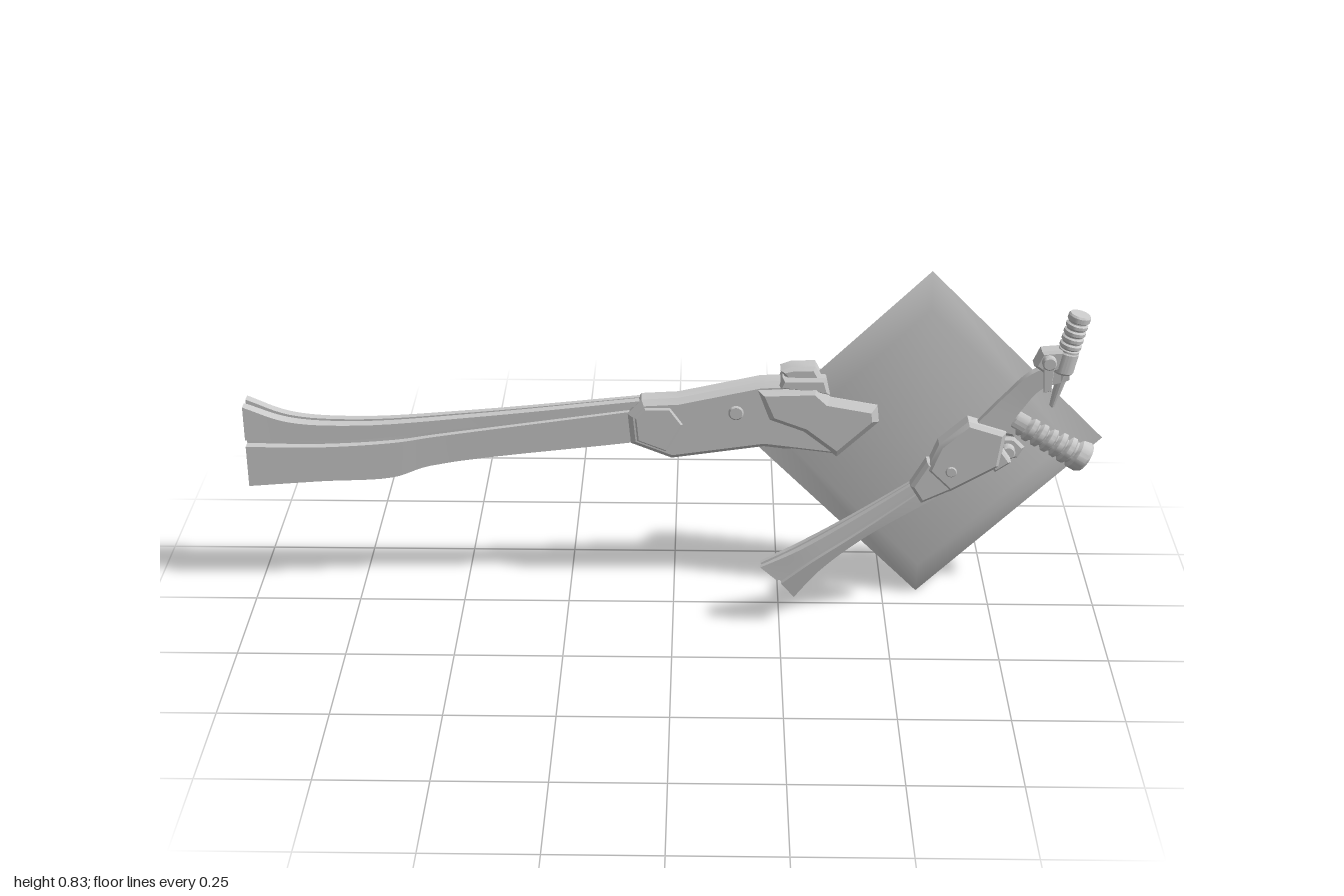
import * as THREE from 'three';
import { toCreasedNormals } from 'three/addons/utils/BufferGeometryUtils.js';

const grey = new THREE.MeshStandardMaterial({ color: 0xcccccc });
const ZA = -0.064; // centre plane of the large axe
const ZB = 0.097;  // centre plane of the small handle

function mesh(name, geo, crease = 0.6) {
  const flat = geo.index ? geo.toNonIndexed() : geo;
  const m = new THREE.Mesh(toCreasedNormals(flat, crease), grey);
  m.name = name;
  return m;
}

// Bevelled plate from an outline, centred on plane z, half = half thickness
function plate(name, pts, z, half, bevel = 0.01, holes = []) {
  const shape = new THREE.Shape(pts.map(p => new THREE.Vector2(...p)));
  for (const [x, y, r] of holes) shape.holes.push(new THREE.Path().absarc(x, y, r, 0, Math.PI * 2, true));
  const geo = new THREE.ExtrudeGeometry(shape, {
    depth: 2 * (half - bevel), bevelSize: bevel, bevelThickness: bevel,
    bevelOffset: -bevel, bevelSegments: 1, curveSegments: 12,
  });
  geo.translate(0, 0, z - half + bevel);
  return mesh(name, geo, 0.35);
}

// Bar swept between two edge curves; edge points are [x, y, halfThickness],
// f0..f1 pick the slice of the thickness, inset pulls the edges together
function loft(name, top, bottom, z, f0, f1, inset = 0, n = 24) {
  const [A, B] = [top, bottom].map(e => new THREE.CatmullRomCurve3(e.map(p => new THREE.Vector3(...p))));
  const pos = [], idx = [];
  for (let i = 0; i <= n; i++) {
    const a = A.getPoint(i / n), b = B.getPoint(i / n);
    const t = a.clone().lerp(b, inset), u = b.clone().lerp(a, inset);
    for (const [p, f] of [[t, f1], [u, f1], [u, f0], [t, f0]]) pos.push(p.x, p.y, z + p.z * f);
    if (i === n) break;
    for (let j = 0; j < 4; j++) {
      const k = (j + 1) % 4, o = i * 4;
      idx.push(o + j, o + k, o + 4 + k, o + j, o + 4 + k, o + 4 + j);
    }
  }
  const e = n * 4;
  idx.push(0, 3, 2, 0, 2, 1, e, e + 1, e + 2, e, e + 2, e + 3);
  const geo = new THREE.BufferGeometry();
  geo.setAttribute('position', new THREE.Float32BufferAttribute(pos, 3));
  geo.setIndex(idx);
  return mesh(name, geo, 0.4);
}

// Turned part whose axis runs from a towards b; profile is [radius, distance]
function turned(name, profile, a, b, sides = 24) {
  const geo = new THREE.LatheGeometry(profile.map(p => new THREE.Vector2(...p)), sides);
  const m = mesh(name, geo, 0.5);
  const from = new THREE.Vector3(...a);
  m.position.copy(from);
  m.quaternion.setFromUnitVectors(new THREE.Vector3(0, 1, 0), new THREE.Vector3(...b).sub(from).normalize());
  return m;
}

// Pin along z with softened rims
function pin(name, x, y, r, z0, z1) {
  const l = z1 - z0, c = Math.min(r, l) * 0.2;
  return turned(name, [[0, 0], [r - c, 0], [r, c], [r, l - c], [r - c, l], [0, l]], [x, y, z0], [x, y, z1]);
}

// Ribbed grip: smooth collar, ridges, end cap
function grip(name, a, b, r, ridges) {
  const l = new THREE.Vector3(...a).distanceTo(new THREE.Vector3(...b));
  const p = [[0, 0], [r * 0.75, 0], [r * 0.92, l * 0.06], [r * 0.92, l * 0.2]];
  const step = l * 0.6 / ridges;
  for (let k = 0; k < ridges; k++) {
    const y = l * 0.22 + k * step;
    p.push([r * 0.82, y], [r * 0.98, y + step * 0.25], [r * 0.98, y + step * 0.7], [r * 0.82, y + step * 0.9]);
  }
  p.push([r * 0.82, l * 0.83], [r, l * 0.86], [r, l * 0.96], [r * 0.88, l], [0, l]);
  return turned(name, p, a, b);
}

// Split handle: two bars, each of paired side plates around a recessed core
function handle(name, z, upper, lower) {
  const g = new THREE.Group();
  g.name = name;
  for (const [label, [t, b]] of [['upper', upper], ['lower', lower]]) {
    g.add(loft(label + 'BarLeft', t, b, z, 0.3, 1));
    g.add(loft(label + 'BarRight', t, b, z, -1, -0.3));
    g.add(loft(label + 'BarCore', t, b, z, -0.3, 0.3, 0.12));
  }
  g.add(loft('spine', upper[1], lower[0], z, -0.35, 0.35));
  return g;
}

function largeAxe() {
  const g = new THREE.Group();
  g.name = 'largeAxe';

  // Diamond blade with tapered edges
  const R = 0.415, h = 0.024, w = 0.085;
  const bladeGeo = new THREE.LatheGeometry(
    [[0, -h], [R - w, -h], [R, 0], [R - w, h], [0, h]].map(p => new THREE.Vector2(...p)), 4);
  bladeGeo.rotateX(Math.PI / 2);
  const blade = mesh('blade', bladeGeo);
  blade.position.set(0.583, 0.418, ZA);
  g.add(blade);

  g.add(handle('handle', ZA,
    [[[-1, .495, .033], [-.9, .457, .03], [-.74, .447, .026], [-.47, .468, .021], [-.07, .512, .017]],
     [[-1, .41, .033], [-.9, .408, .03], [-.74, .41, .026], [-.47, .442, .021], [-.07, .5, .017]]],
    [[[-1, .393, .033], [-.83, .391, .029], [-.65, .403, .025], [-.56, .417, .022], [-.07, .488, .017]],
     [[-1, .29, .033], [-.83, .302, .029], [-.66, .312, .025], [-.57, .342, .022], [-.07, .408, .017]]]));

  // Housing: body, faceted collar and thick cheek
  g.add(plate('body', [[-.107, .479], [-.075, .516], [.01, .521], [.2, .564], [.33, .57], [.35, .532],
    [.47, .51], [.475, .468], [.38, .377], [.21, .398], [-.005, .366], [-.1, .404]], ZA, 0.03, 0.012));
  g.add(plate('collar', [[-.107, .479], [-.075, .516], [.0, .516], [.04, .46], [-.01, .368], [-.1, .404]], ZA, 0.034, 0.02));
  g.add(plate('cheek', [[.19, .55], [.33, .558], [.36, .53], [.47, .51], [.475, .468], [.38, .377], [.3, .44], [.22, .47]],
    ZA, 0.043, 0.016, [[.4, .484, .025]]));
  g.add(pin('frontBolt', .4, .484, .02, ZA - .04, ZA + .04));
  g.add(pin('rearBolt', .144, .489, .018, ZA - .034, ZA + .034));

  // Catch on top of the housing
  g.add(plate('catch', [[.245, .592], [.27, .601], [.325, .603], [.345, .565], [.32, .54], [.28, .545]], ZA, 0.026, 0.008));
  g.add(plate('catchBase', [[.24, .55], [.25, .578], [.35, .578], [.36, .535]], ZA, 0.034, 0.008));

  // Grip on the blade, with clamp pin and lever
  g.add(grip('grip', [.775, .479, ZA], [.962, .366, ZA], 0.04, 5));
  g.add(plate('gripMount', [[.71, .475], [.76, .51], [.81, .47], [.79, .43], [.74, .44]], ZA, 0.034, 0.01));
  g.add(pin('clampPin', .775, .4, .017, -0.125, -0.012));
  g.add(plate('clampBlock', [[.735, .395], [.75, .432], [.79, .43], [.815, .405], [.8, .378], [.755, .37]], ZA, 0.033, 0.006));
  for (const z of [-0.106, -0.122, -0.138]) g.add(pin('clampDisc', .78, .4, .03, z - 0.003, z + 0.013));
  g.add(plate('clampLever', [[.765, .425], [.70, .478], [.675, .487], [.672, .465], [.70, .445], [.76, .39]], -0.121, 0.006, 0.002));
  return g;
}

function smallHandle() {
  const g = new THREE.Group();
  g.name = 'smallHandle';
  g.add(handle('handle', ZB,
    [[[.203, .163, .016], [.29, .21, .02], [.40, .28, .017], [.58, .405, .011]],
     [[.243, .13, .02], [.315, .187, .02], [.41, .258, .017], [.585, .39, .011]]],
    [[[.252, .122, .02], [.322, .179, .02], [.42, .25, .017], [.59, .38, .011]],
     [[.283, .078, .004], [.34, .152, .01], [.44, .24, .011], [.6, .345, .009]]]));

  // Housing
  g.add(plate('body', [[.6, .485], [.663, .543], [.749, .516], [.738, .43], [.63, .366], [.575, .42]],
    ZB, 0.025, 0.009, [[.706, .5, .014]]));
  g.add(plate('collar', [[.54, .377], [.575, .44], [.62, .44], [.64, .37], [.567, .334]], ZB, 0.02, 0.008));
  g.add(pin('frontBolt', .706, .5, .011, ZB - .024, ZB + .024));
  g.add(pin('rearBolt', .63, .42, .013, ZB - .028, ZB + .028));
  g.add(plate('latch', [[.70, .46], [.74, .475], [.765, .44], [.73, .415]], ZB, 0.018, 0.005));

  // Curved neck up to the clamp
  g.add(loft('neck', [[.68, .53, .008], [.74, .6, .008], [.80, .66, .01], [.88, .69, .013]],
    [[.74, .50, .008], [.785, .575, .008], [.82, .62, .01], [.88, .645, .013]], ZB, -1, 1));

  // Clamp and grip
  g.add(turned('clampBand', [[0, 0], [.021, 0], [.025, .005], [.025, .05], [.021, .056], [0, .056]],
    [.864, .66, ZB], [.89, .785, ZB]));
  g.add(turned('spike', [[0, 0], [.007, .005], [.014, .09], [0, .09]], [.848, .572, ZB], [.872, .68, ZB], 12));
  g.add(grip('grip', [.872, .695, ZB], [.895, .8, ZB], 0.025, 4));
  g.add(plate('clampBlock', [[.80, .68], [.815, .715], [.87, .72], [.88, .675], [.825, .662]], ZB, 0.02, 0.006));
  g.add(pin('clampPin', .83, .697, .009, 0.066, 0.14));
  g.add(pin('clampDisc', .83, .697, .016, 0.122, 0.141));
  g.add(plate('clampLever', [[.818, .69], [.842, .695], [.838, .63], [.822, .626]], 0.132, 0.004, 0.001));
  return g;
}

export function createModel() {
  const model = new THREE.Group();
  model.name = 'axeAndHandle';
  model.add(largeAxe(), smallHandle());
  return model;
}
